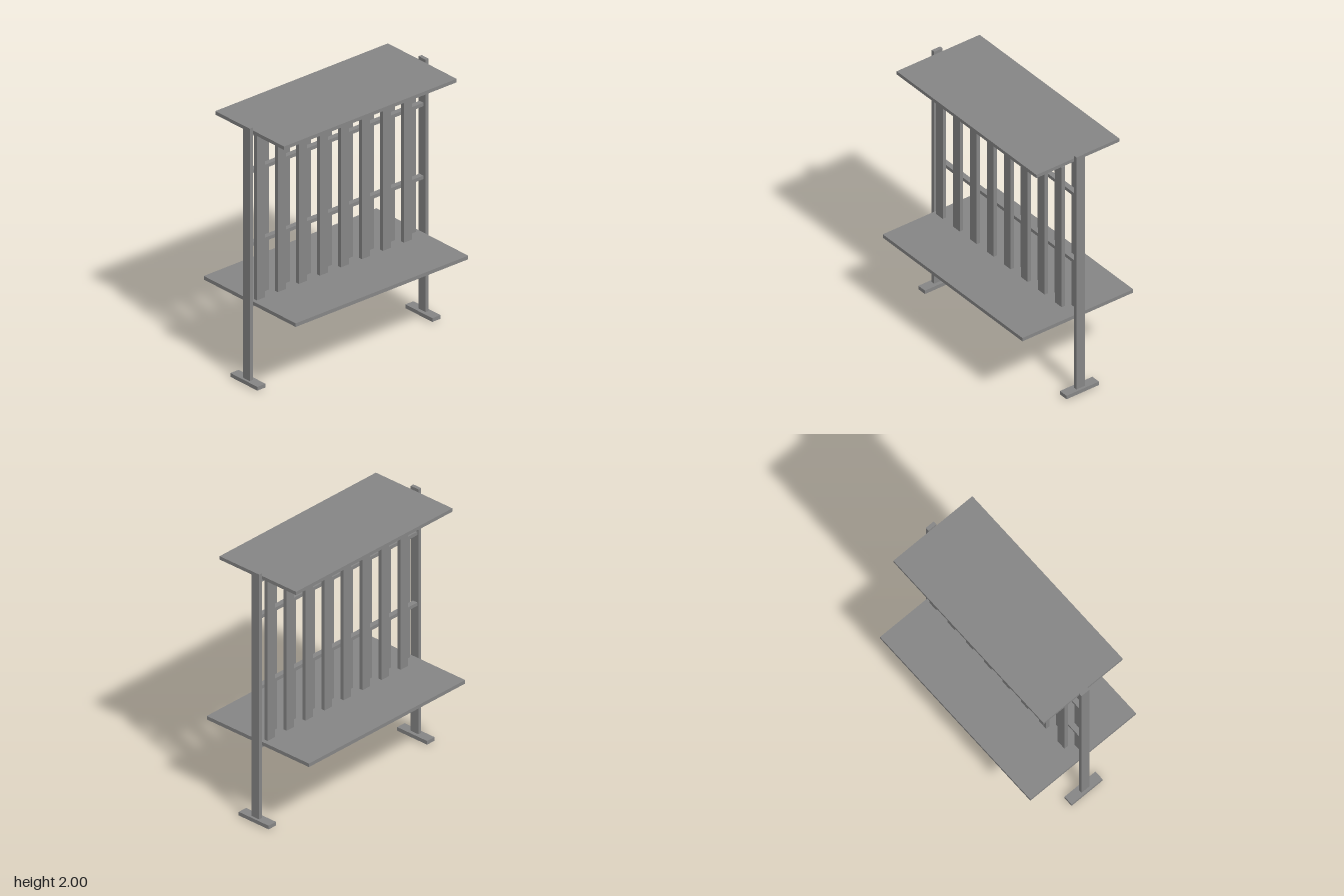
import * as THREE from 'three';

export function createModel() {
  const model = new THREE.Group();
  const material = new THREE.MeshStandardMaterial({ color: 0x868686, flatShading: true });

  // Board given by its min/max on each axis
  function board(name, [x0, x1], [y0, y1], [z0, z1]) {
    const mesh = new THREE.Mesh(new THREE.BoxGeometry(x1 - x0, y1 - y0, z1 - z0), material);
    mesh.position.set((x0 + x1) / 2, (y0 + y1) / 2, (z0 + z1) / 2);
    mesh.name = name;
    model.add(mesh);
  }
  const around = (c, width) => [c - width / 2, c + width / 2];
  const inner = [-0.794, 0.794];

  // End posts with crosswise feet
  for (const s of [-1, 1]) {
    board('post', [-0.04, 0.034], [0, 2], around(s * 0.809, 0.028));
    board('foot', [-0.148, 0.136], [0.011, 0.04], around(s * 0.805, 0.075));
  }

  // Table top and roof
  board('tableTop', [-0.485, 0.485], [0.622, 0.65], inner);
  board('roof', [-0.363, 0.363], [1.95, 1.977], inner);

  // Cross braces beneath both panels
  board('tableBrace', [-0.429, 0.4], [0.595, 0.622], around(0.484, 0.075));
  board('tableBrace', [-0.429, 0.4], [0.605, 0.622], around(-0.442, 0.075));
  board('roofBrace', [-0.31, 0.29], [1.935, 1.95], around(0.545, 0.077));
  board('roofBrace', [-0.31, 0.29], [1.935, 1.95], around(-0.525, 0.06));

  // Long rails between the posts
  for (const y of [0.595, 1.065, 1.631, 1.922]) {
    board('rail', [-0.03, 0.011], [y, y + 0.027], inner);
  }

  // Slats alternate between both faces of the rails, tall and short in turn
  for (let i = 0; i < 16; i++) {
    const z = 0.726 - i * 0.0966;
    const tall = i % 4 === 0 || i % 4 === 3;
    board(tall ? 'tallSlat' : 'shortSlat', i % 2 === 0 ? [0.011, 0.041] : [-0.061, -0.03],
      [0.65, tall ? 1.95 : 1.83], around(z, 0.075));
  }
  return model;
}
